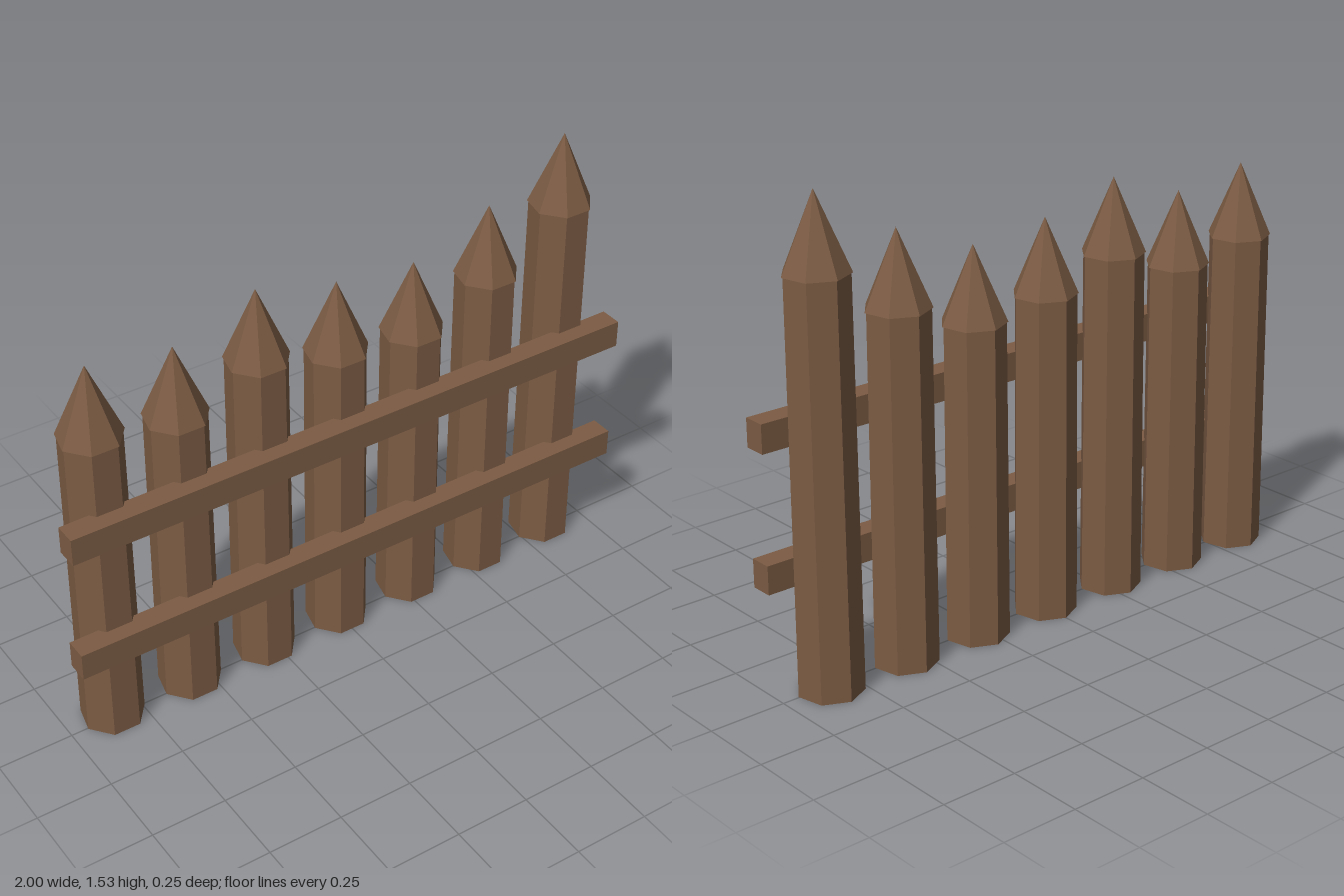
import * as THREE from 'three';

const SIDES = 7;
const POST_Z = -0.02;
const TIP_HEIGHT = 0.242;
const SPACING = 0.281;
// Shoulder height of each stake, from the model's right to its left
const SHOULDERS = [1.08, 1.037, 1.13, 1.055, 1.025, 1.13, 1.293];

export function createModel() {
  const wood = new THREE.MeshStandardMaterial({ color: 0x7c5c44, flatShading: true });
  wood.name = 'wood';

  const fence = new THREE.Group();
  fence.name = 'fence';

  const add = (parent, name, geometry, x, y, z) => {
    const mesh = new THREE.Mesh(geometry, wood);
    mesh.name = name;
    mesh.position.set(x, y, z);
    parent.add(mesh);
  };

  // Pointed stakes: slightly tapered post with an overhanging tip, flat side to the front
  SHOULDERS.forEach((height, i) => {
    const stake = new THREE.Group();
    stake.name = `stake${i + 1}`;
    stake.position.set((i - 3) * SPACING, 0, POST_Z);
    stake.rotation.y = Math.PI;
    add(stake, 'post', new THREE.CylinderGeometry(0.099, 0.103, height, SIDES), 0, height / 2, 0);
    add(stake, 'tip', new THREE.ConeGeometry(0.1035, TIP_HEIGHT, SIDES), 0, height + TIP_HEIGHT / 2, 0);
    fence.add(stake);
  });

  // Two rails across the front
  add(fence, 'lowerRail', new THREE.BoxGeometry(2, 0.092, 0.074), 0, 0.377, 0.0875);
  add(fence, 'upperRail', new THREE.BoxGeometry(2, 0.092, 0.074), 0, 0.816, 0.0875);

  return fence;
}
